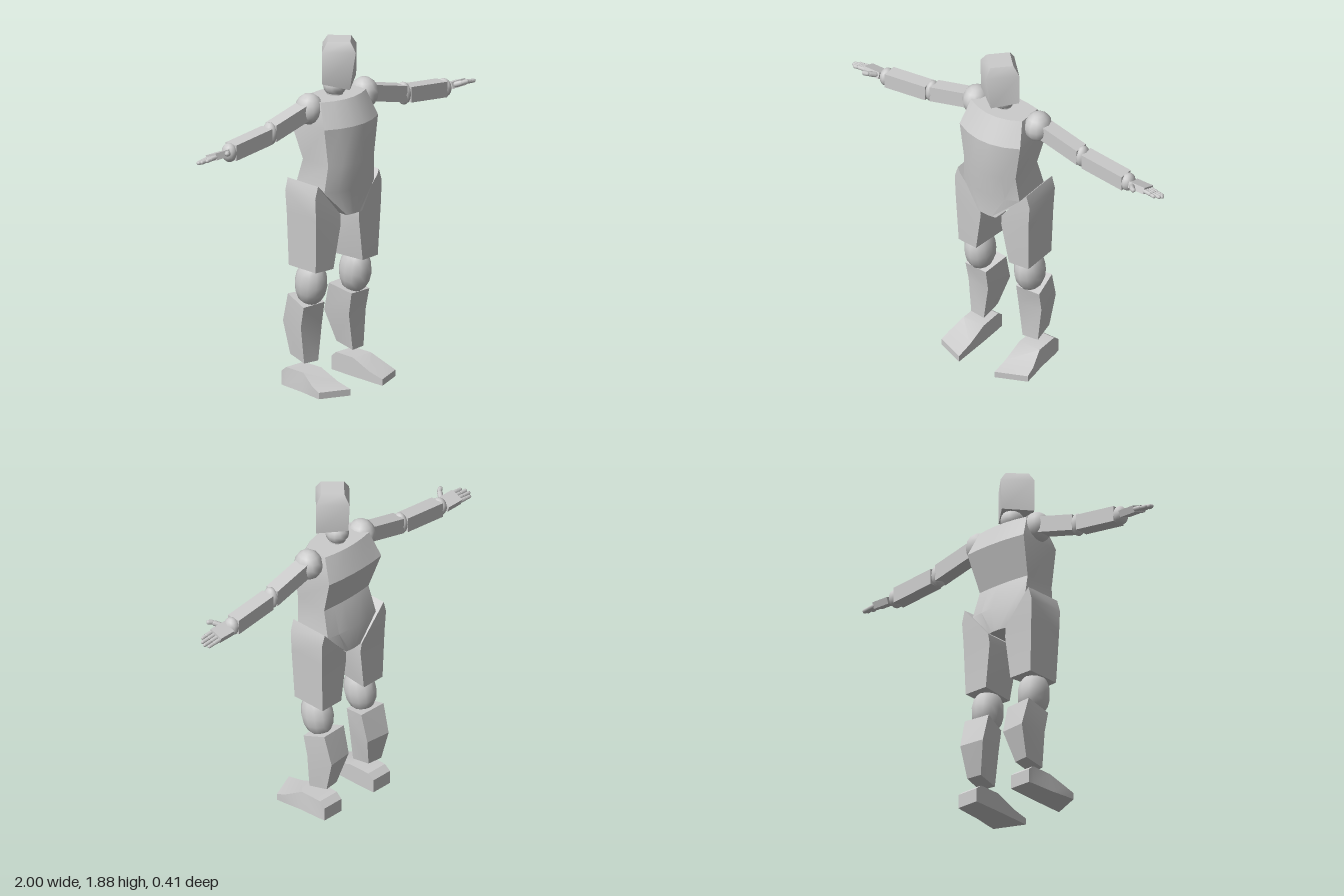
import * as THREE from 'three';
import { toCreasedNormals, mergeGeometries } from 'three/addons/utils/BufferGeometryUtils.js';

const material = new THREE.MeshStandardMaterial({ color: 0xcccccc });

// Closed skin through rings of [x, y, z] points, bottom to top, each running front, +x, back, -x
function loft(rings, crease = 0.4) {
  const pos = [], n = rings[0].length;
  const tri = (a, b, c) => pos.push(...a, ...b, ...c);
  const centre = (r) => [0, 1, 2].map((k) => r.reduce((s, p) => s + p[k], 0) / n);
  const low = rings[0], high = rings[rings.length - 1];
  const lowC = centre(low), highC = centre(high);
  for (let i = 0; i < n; i++) {
    const j = (i + 1) % n;
    for (let k = 0; k < rings.length - 1; k++) {
      const a = rings[k], b = rings[k + 1];
      tri(a[i], a[j], b[j]);
      tri(a[i], b[j], b[i]);
    }
    tri(lowC, low[j], low[i]);
    tri(highC, high[i], high[j]);
  }
  const g = new THREE.BufferGeometry();
  g.setAttribute('position', new THREE.Float32BufferAttribute(pos, 3));
  return toCreasedNormals(g, crease);
}

// Mirror in x, swapping two corners of every triangle so faces still point outward
function mirrored(geo) {
  const g = geo.index ? geo.toNonIndexed() : geo.clone();
  for (const key of ['position', 'normal']) {
    const a = g.attributes[key], old = a.array.slice();
    for (let i = 0; i < a.count; i++) {
      const from = i % 3 === 0 ? i : i % 3 === 1 ? i + 1 : i - 1;
      a.setXYZ(i, -old[from * 3], old[from * 3 + 1], old[from * 3 + 2]);
    }
  }
  return g;
}

function add(group, name, geo) {
  const mesh = new THREE.Mesh(geo, material);
  mesh.name = name;
  group.add(mesh);
}

// The geometry on +x and its mirror on -x
function addPair(group, name, geo) {
  add(group, 'left' + name, geo);
  add(group, 'right' + name, mirrored(geo));
}

function ball(rx, ry, rz, x, y, z, tilt = 0) {
  return new THREE.SphereGeometry(1, 12, 8).scale(rx, ry, rz).rotateX(tilt).translate(x, y, z);
}

// Square bar from an inner to an outer point, both in the plane z = -0.04
function bar(x0, y0, x1, y1, height, depth) {
  const h = height / 2, d = depth / 2;
  const end = (x, y) => [
    [x, y + h, -0.04 + d], [x, y - h, -0.04 + d], [x, y - h, -0.04 - d], [x, y + h, -0.04 - d]];
  return loft([end(x0, y0), end(x1, y1)]);
}

// Round rod with rounded ends between two points
function rod(from, to, r) {
  const a = new THREE.Vector3(...from), d = new THREE.Vector3(...to).sub(a);
  const g = new THREE.CapsuleGeometry(r, Math.max(d.length() - 2 * r, 0.001), 2, 8);
  g.applyQuaternion(new THREE.Quaternion().setFromUnitVectors(new THREE.Vector3(0, 1, 0), d.clone().normalize()));
  return g.translate(...a.addScaledVector(d, 0.5).toArray());
}

function head() {
  const diamond = (r, y) => [[0, y, r], [r, y, 0], [0, y, -r], [-r, y, 0]];
  const jaw = [[0, 1.62, 0.08], [0.124, 1.66, 0], [0, 1.67, -0.115], [-0.124, 1.66, 0]];
  return loft([jaw, diamond(0.125, 1.835), diamond(0.086, 1.885)], 0.7);
}

function torso() {
  // Half width, height, then depth at front middle, front side, back side, back middle
  const levels = [
    [0.055, 0.955, 0.12, 0.115, -0.15, -0.157],
    [0.18, 1.09, 0.125, 0.075, -0.14, -0.16],
    [0.166, 1.24, 0.15, 0.09, -0.1, -0.11],
    [0.195, 1.445, 0.15, 0.09, -0.165, -0.18],
    [0.165, 1.577, 0.08, 0.03, -0.105, -0.125]];
  const steps = [-1, -0.6, -0.2, 0.2, 0.6, 1];
  return loft(levels.map(([w, y, f, fs, bs, b]) => [
    ...steps.map((t) => [t * w, y, fs + (f - fs) * (1 - t * t)]),
    ...steps.map((t) => [-t * w, y, bs + (b - bs) * (1 - t * t)])]));
}

// Ring corners: front inner, front outer, back outer, back inner
function thigh() {
  const ring = (inF, inB, inY, out, outY, f, b) =>
    [[inF, inY, f], [out, outY, f - 0.01], [out, outY, b], [inB, inY, b]];
  return loft([
    ring(0.106, 0.085, 0.66, 0.225, 0.66, 0.067, -0.145),
    ring(0.066, 0.054, 0.9, 0.235, 0.95, 0.08, -0.15),
    ring(0.068, 0.06, 0.955, 0.241, 1.07, 0.08, -0.155),
    ring(0.2, 0.2, 1.113, 0.221, 1.137, 0.08, -0.157)]);
}

function shin() {
  return loft([
    [[0.125, 0.14, -0.028], [0.215, 0.14, -0.04], [0.205, 0.165, -0.155], [0.12, 0.165, -0.145]],
    [[0.098, 0.34, -0.028], [0.235, 0.34, -0.044], [0.214, 0.34, -0.2], [0.07, 0.34, -0.185]],
    [[0.098, 0.46, -0.008], [0.238, 0.455, -0.02], [0.222, 0.5, -0.155], [0.066, 0.495, -0.145]]]);
}

function foot() {
  // Cross-sections from heel to toe, the toe edge slanting back on the outer side
  const slice = (inner, outer, zIn, zOut, top, topOuter = outer) =>
    [[inner, 0, zIn], [outer, 0, zOut], [topOuter, top, zOut], [inner, top, zIn]];
  return loft([
    slice(0.12, 0.245, -0.18, -0.18, 0.075),
    slice(0.118, 0.25, -0.145, -0.145, 0.103, 0.243),
    slice(0.115, 0.258, -0.015, -0.015, 0.103, 0.245),
    slice(0.115, 0.272, 0.11, 0.08, 0.055),
    slice(0.115, 0.278, 0.205, 0.135, 0.035)]);
}

function hand() {
  const parts = [new THREE.BoxGeometry(0.1, 0.036, 0.08).translate(0.855, 0.008, 0)];
  // Four fingers of two joints each
  [0.975, 0.995, 1, 0.985].forEach((tip, i) => {
    const z = 0.031 - i * 0.0207;
    parts.push(rod([0.89, 0.008, z], [0.95, 0.002, z], 0.0115));
    parts.push(rod([0.94, 0.003, z], [tip, -0.002, z], 0.0105));
  });
  // Thumb
  parts.push(rod([0.82, 0.008, 0.03], [0.855, 0.01, 0.08], 0.015));
  parts.push(rod([0.842, 0.01, 0.072], [0.88, 0.01, 0.094], 0.0135));
  return mergeGeometries(parts).rotateX(-0.35).translate(0, 1.415, -0.04);
}

export function createModel() {
  const model = new THREE.Group();
  model.name = 'mannequin';

  // Trunk and legs
  const body = new THREE.Group();
  body.name = 'body';
  body.position.x = -0.02;
  model.add(body);
  add(body, 'head', head());
  add(body, 'neckBall', ball(0.062, 0.06, 0.065, 0, 1.625, -0.033));
  add(body, 'neck', new THREE.CylinderGeometry(0.045, 0.045, 0.1, 12).translate(0, 1.565, -0.033));
  add(body, 'torso', torso());
  addPair(body, 'Thigh', thigh());
  addPair(body, 'Knee', ball(0.08, 0.128, 0.094, 0.16, 0.572, -0.045, 0.15));
  addPair(body, 'Shin', shin());
  addPair(body, 'Foot', foot());

  // Arms, shoulder to fingertips
  const arms = new THREE.Group();
  arms.name = 'arms';
  model.add(arms);
  addPair(arms, 'Shoulder', ball(0.072, 0.084, 0.079, 0.2, 1.532, -0.038));
  addPair(arms, 'UpperArm', bar(0.22, 1.53, 0.475, 1.465, 0.09, 0.08));
  addPair(arms, 'Elbow', ball(0.034, 0.062, 0.046, 0.485, 1.46, -0.04));
  addPair(arms, 'Forearm', bar(0.505, 1.455, 0.765, 1.425, 0.085, 0.08));
  addPair(arms, 'Wrist', ball(0.037, 0.051, 0.045, 0.778, 1.423, -0.04));
  addPair(arms, 'Hand', hand());
  return model;
}
